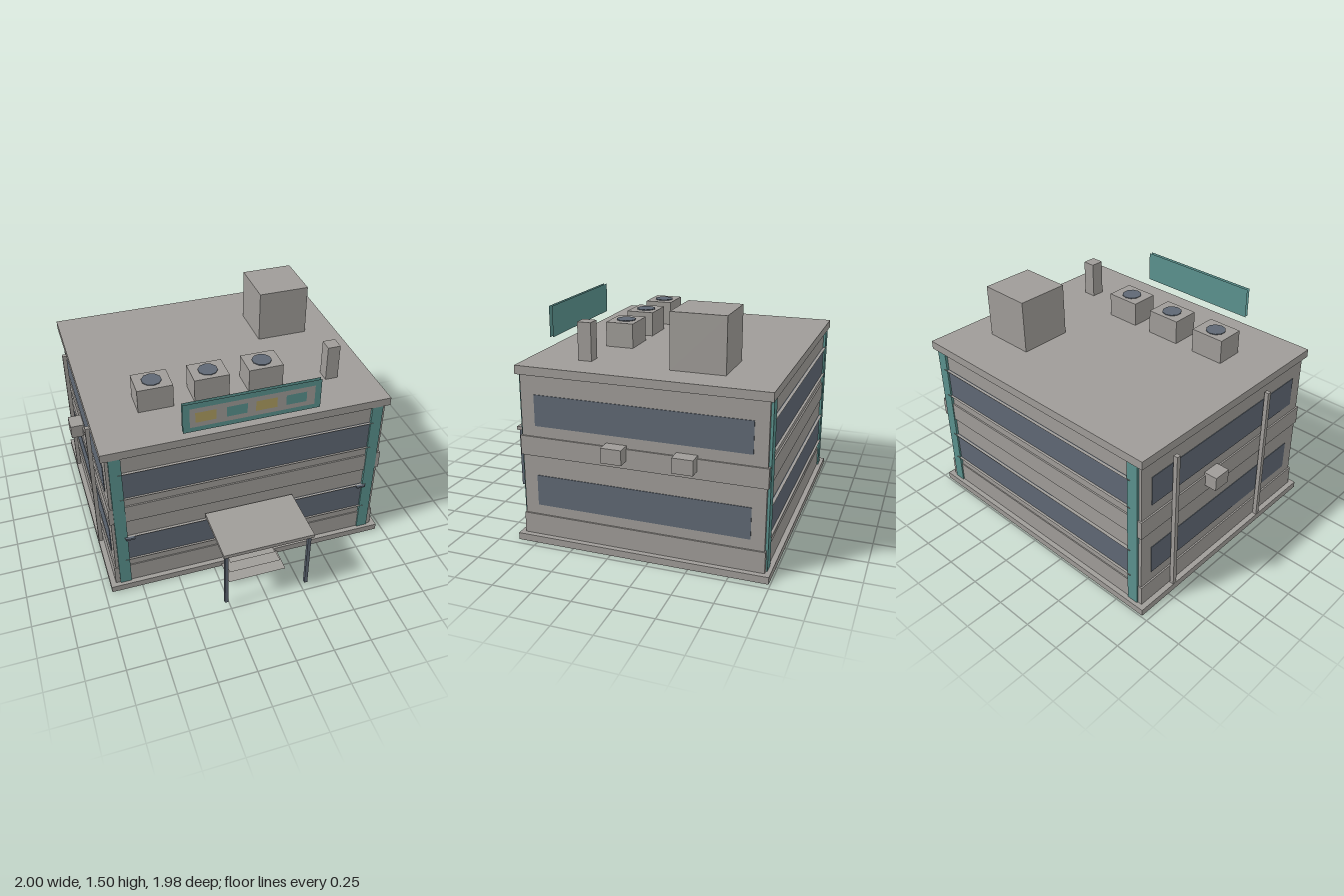
import * as THREE from 'three';

const mat = (name, color, side = THREE.FrontSide) => {
  const m = new THREE.MeshStandardMaterial({ color, side });
  m.name = name;
  return m;
};

export function createModel() {
  const group = new THREE.Group();
  const concrete = mat('concrete grey', 0x9f9c98, THREE.DoubleSide);
  const teal = mat('teal trim', 0x5a918d, THREE.DoubleSide);
  const glass = mat('dark glass', 0x5f6874, THREE.DoubleSide);
  const yellow = mat('ochre', 0xae9e60, THREE.DoubleSide);

  const add = (name, geometry, material) => {
    const mesh = new THREE.Mesh(geometry, material);
    mesh.name = name;
    group.add(mesh);
    return mesh;
  };
  // Box given by its limits on each axis
  const box = (name, m, x0, x1, y0, y1, z0, z1) =>
    add(name, new THREE.BoxGeometry(x1 - x0, y1 - y0, z1 - z0), m)
      .position.set((x0 + x1) / 2, (y0 + y1) / 2, (z0 + z1) / 2);
  // Upright sheet facing the front
  const sheet = (name, m, x0, x1, y0, y1, z) =>
    add(name, new THREE.PlaneGeometry(x1 - x0, y1 - y0), m)
      .position.set((x0 + x1) / 2, (y0 + y1) / 2, z);
  // Level sheet
  const shelf = (name, m, x0, x1, y, z0, z1) => {
    const s = add(name, new THREE.PlaneGeometry(x1 - x0, z1 - z0), m);
    s.rotation.x = -Math.PI / 2;
    s.position.set((x0 + x1) / 2, y, (z0 + z1) / 2);
  };

  // Main block with its bands and roof
  box('foundation', concrete, -0.955, 0.955, 0, 0.045, -0.99, 0.63);
  box('walls', concrete, -0.91, 0.91, 0.045, 1.095, -0.95, 0.59);
  box('lowerBand', concrete, -0.92, 0.92, 0.045, 0.18, -0.957, 0.597);
  box('middleBand', concrete, -0.92, 0.92, 0.575, 0.7, -0.96, 0.6);
  box('roofSlab', concrete, -0.935, 0.935, 1.095, 1.15, -0.973, 0.61);

  // Ribbon windows on all sides, with thin ledges front and back
  for (const [y0, y1] of [[0.245, 0.445], [0.77, 0.97]]) {
    box('frontWindow', glass, -0.82, 0.82, y0, y1, 0.588, 0.595);
    box('backWindow', glass, -0.82, 0.82, y0, y1, -0.955, -0.948);
    for (const s of [-1, 1]) {
      box('sideWindow', glass, s * 0.911 - 0.003, s * 0.911 + 0.003, y0, y1, -0.865, 0.5);
    }
    for (const y of [y0, y1]) {
      shelf('frontLedge', concrete, -0.84, 0.84, y, 0.59, 0.609);
      shelf('backLedge', concrete, -0.84, 0.84, y, -0.972, -0.95);
    }
  }

  // Corner pilasters and front lamps
  for (const s of [-1, 1]) {
    const x0 = s * 0.8525 - 0.0375, x1 = x0 + 0.075;
    box('frontPilaster', teal, x0, x1, 0.045, 1.095, 0.589, 0.606);
    box('backPilaster', teal, x0, x1, 0.045, 1.095, -0.966, -0.949);
    box('lamp', glass, s * 0.8 - 0.03, s * 0.8 + 0.03, 0.433, 0.446, 0.606, 0.624);
  }

  // Entrance: door, canopy, posts and steps
  box('door', glass, -0.16, 0.16, 0.18, 0.27, 0.589, 0.598);
  box('canopy', concrete, -0.3, 0.3, 0.47, 0.495, 0.6, 0.99);
  for (const x of [-0.277, 0.273]) {
    box('canopyPost', glass, x - 0.011, x + 0.011, 0.047, 0.47, 0.957, 0.979);
  }
  for (let i = 0; i < 3; i++) {
    const w = 0.2 - i * 0.02;
    shelf('step', concrete, -w, w, 0.02 + i * 0.035, 0.6, 0.8 - i * 0.05);
  }

  // Wall units and drain pipes
  for (const z of [-0.475, -0.035]) {
    box('rightWallUnit', concrete, 0.91, 0.998, 0.625, 0.72, z - 0.065, z + 0.065);
  }
  box('leftWallUnit', concrete, -1, -0.91, 0.625, 0.72, -0.39, -0.27);
  for (const z of [-0.69, 0.175]) {
    box('drainPipe', concrete, -0.953, -0.925, 0.045, 1.035, z - 0.014, z + 0.014);
  }

  // Rooftop equipment
  box('stairHouse', concrete, 0.375, 0.72, 1.15, 1.5, -0.645, -0.3);
  box('chimney', concrete, 0.62, 0.705, 1.15, 1.39, 0.207, 0.295);
  for (const x of [-0.51, -0.145, 0.215]) {
    box('coolingUnit', concrete, x - 0.115, x + 0.115, 1.15, 1.31, 0.088, 0.272);
    add('coolingFan', new THREE.CylinderGeometry(0.064, 0.064, 0.006, 10), glass)
      .position.set(x, 1.312, 0.178);
  }

  // Roof sign made of thin sheets
  sheet('signBack', teal, -0.435, 0.435, 1.205, 1.41, 0.602);
  sheet('signFront', teal, -0.435, 0.435, 1.205, 1.41, 0.624);
  sheet('signPanel', concrete, -0.393, 0.393, 1.24, 1.375, 0.628);
  [[-0.36, -0.23, yellow], [-0.167, -0.038, teal], [0.015, 0.15, yellow], [0.207, 0.338, teal]]
    .forEach(([x0, x1, m]) => sheet('signPatch', m, x0, x1, 1.275, 1.345, 0.632));

  return group;
}
